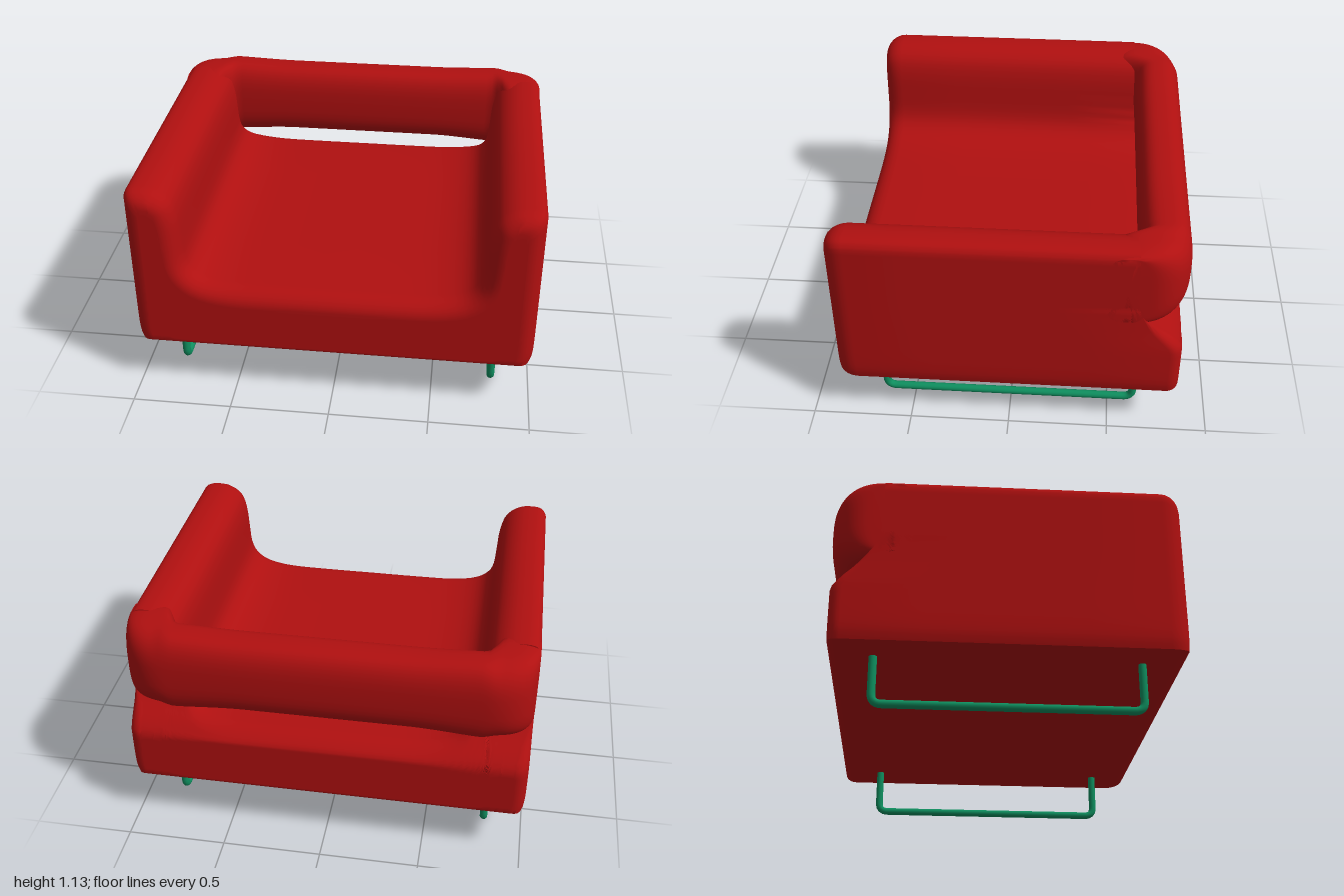
import * as THREE from 'three';
import { toCreasedNormals } from 'three/addons/utils/BufferGeometryUtils.js';

const { smoothstep, lerp, clamp } = THREE.MathUtils;
const red = new THREE.MeshStandardMaterial({ color: 0xb01010 });
const green = new THREE.MeshStandardMaterial({ color: 0x0f8f5f });
const spline = (pts) => new THREE.SplineCurve(pts.map(([x, y]) => new THREE.Vector2(x, y)));

// Moves every vertex of a geometry by a rule, then recomputes the normals.
function reshape(geo, rule) {
  const p = geo.attributes.position;
  for (let i = 0; i < p.count; i++) p.setXYZ(i, ...rule(p.getX(i), p.getY(i), p.getZ(i)));
  return toCreasedNormals(geo, 0.9);
}

function mesh(name, geo, material) {
  const m = new THREE.Mesh(geo, material);
  m.name = name;
  return m;
}

// Half of the seat-and-arm outline, from the seat centre to the outer side.
const outline = spline([
  [0, 0.6], [0.3, 0.6], [0.5, 0.605], [0.63, 0.63], [0.7, 0.68], [0.73, 0.75], [0.74, 0.86],
  [0.75, 0.98], [0.78, 1.07], [0.85, 1.12], [0.93, 1.13], [0.98, 1.12], [1, 1.09],
]);

// Rear limit of the body (z) at each height: upright panel, then the notch under the backrest.
const rear = [[0.26, -0.84], [0.54, -0.84], [0.6, -0.79], [0.65, -0.73], [0.69, -0.69],
  [0.75, -0.64], [0.82, -0.61], [1.2, -0.6]];
function rearZ(y) {
  for (let i = 1; i < rear.length; i++) {
    const [y0, z0] = rear[i - 1], [y1, z1] = rear[i];
    if (y <= y1) return lerp(z0, z1, clamp((y - y0) / (y1 - y0), 0, 1));
  }
  return -0.6;
}

// Seat and both arms in one piece, with rounded front and rear edges.
function bodyGeometry() {
  const nz = 16, arc = 6, floor = 0.26;
  return reshape(new THREE.BoxGeometry(1, 1, 1, 72, 28, nz), (px, py, pz) => {
    const side = Math.sign(px), b = py + 0.5, row = Math.round((0.5 - pz) * nz);
    const t = Math.min(1, Math.abs(px) * 2);
    const top = outline.getPoint(t), tan = outline.getTangent(t);
    const y0 = lerp(floor, top.y, b);
    const atRear = row > nz / 2;
    const ang = Math.min(1, (atRear ? nz - row : row) / arc) * Math.PI / 2;
    const size = atRear ? 0.06 * (1 - smoothstep(y0, 0.58, 0.78)) : 0.08;
    const inset = size * (1 - Math.sin(ang));

    // shrink the outline towards its inside
    let x, y;
    if (top.x > 0.85) {
      x = 0.85 + (top.x - 0.85) * (0.15 - inset) / 0.15;
      y = top.y - inset;
    } else {
      x = top.x + tan.y * inset;
      y = top.y - tan.x * inset;
    }
    y = lerp(floor + inset * 0.3, y, b);
    x *= 1 - 0.015 * Math.pow(1 - b, 24);

    const front = 0.855, back = rearZ(y);
    const d = (atRear ? size : 0.1) * (1 - Math.cos(ang));
    let z = atRear ? back + d : front - d;
    if (row > arc && row < nz - arc) z = lerp(front - 0.1, back + 0.06, (row - arc) / (nz - 2 * arc));
    return [side * x, y, z];
  });
}

// Padded roll across the back, turning round the corners into the arms.
function backrestGeometry() {
  const geo = new THREE.CylinderGeometry(1, 1, 2, 48, 72).rotateZ(-Math.PI / 2);
  const soft = (v) => Math.sign(v) * Math.pow(Math.abs(v), 0.68);
  return reshape(geo, (px, py, pz) => {
    const x = Math.sin(px * Math.PI / 2), ax = Math.abs(x);
    const r = Math.min(1, Math.hypot(py, pz)), a = Math.atan2(py, pz);
    const u = clamp((ax - 0.76) / 0.24, 0, 1);
    const back = -0.66 - 0.197 * Math.pow(1 - Math.pow(u, 2.3), 1 / 2.3);
    const front = lerp(-0.61, -0.45, smoothstep(ax, 0.75, 0.84));
    const blend = smoothstep(ax, 0.4, 0.85);
    const end = Math.pow(u, 6) * 0.025;
    const top = lerp(1.117, 1.13, blend) - end, bottom = lerp(0.72, 0.695, blend) + end;
    return [
      x,
      (top + bottom) / 2 + r * soft(Math.sin(a)) * (top - bottom) / 2,
      (front + back) / 2 + r * soft(Math.cos(a)) * (front - back) / 2,
    ];
  });
}

// Bent tube runner: two uprights joined by a floor bar.
function runnerGeometry(x) {
  const v = (y, z) => new THREE.Vector3(x, y, z);
  const path = new THREE.CurvePath(), k = 0.05, y = 0.02, f = 0.65, b = -0.63;
  path.add(new THREE.LineCurve3(v(0.3, f), v(y + k, f)));
  path.add(new THREE.QuadraticBezierCurve3(v(y + k, f), v(y, f), v(y, f - k)));
  path.add(new THREE.LineCurve3(v(y, f - k), v(y, b + k)));
  path.add(new THREE.QuadraticBezierCurve3(v(y, b + k), v(y, b), v(y + k, b)));
  path.add(new THREE.LineCurve3(v(y + k, b), v(0.3, b)));
  return new THREE.TubeGeometry(path, 120, 0.02, 14);
}

export function createModel() {
  const group = new THREE.Group();
  group.name = 'armchair';
  group.add(mesh('seatAndArms', bodyGeometry(), red));
  group.add(mesh('backrest', backrestGeometry(), red));
  group.add(mesh('leftRunner', runnerGeometry(0.805), green));
  group.add(mesh('rightRunner', runnerGeometry(-0.805), green));
  return group;
}
